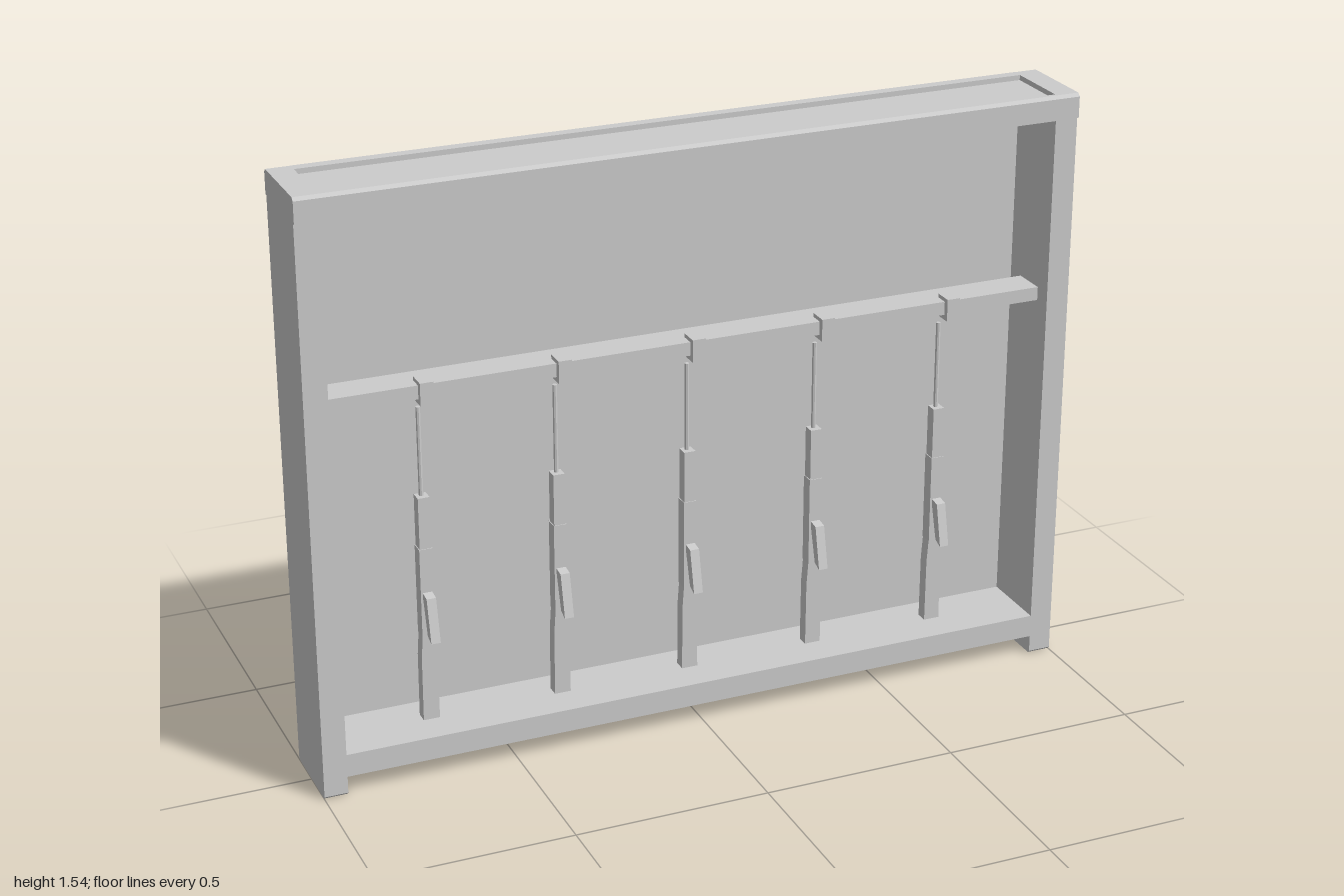
import * as THREE from 'three';

const material = new THREE.MeshStandardMaterial({ color: 0xcccccc, flatShading: true });

// Box given by its minimum and maximum corners
function box(name, [x0, y0, z0], [x1, y1, z1]) {
  const mesh = new THREE.Mesh(new THREE.BoxGeometry(x1 - x0, y1 - y0, z1 - z0), material);
  mesh.name = name;
  mesh.position.set((x0 + x1) / 2, (y0 + y1) / 2, (z0 + z1) / 2);
  return mesh;
}

// Profile of [z, y] points, extruded from x0 to x1
function slab(name, points, x0, x1) {
  const shape = new THREE.Shape(points.map(([z, y]) => new THREE.Vector2(-z, y)));
  const geometry = new THREE.ExtrudeGeometry(shape, { depth: x1 - x0, bevelEnabled: false });
  geometry.rotateY(Math.PI / 2);
  geometry.translate(x0, 0, 0);
  const mesh = new THREE.Mesh(geometry, material);
  mesh.name = name;
  return mesh;
}

// One rifle standing upright, its magazine towards the front
function createRifle() {
  const rifle = new THREE.Group();
  rifle.name = 'rifle';

  // Stock, seen from the front, narrowing into the receiver
  const outline = [[0.021, 0.11], [0.02, 0.28], [0.015, 0.35]];
  const stockShape = new THREE.Shape([
    ...outline.map(([x, y]) => new THREE.Vector2(x, y)),
    ...outline.slice().reverse().map(([x, y]) => new THREE.Vector2(-x, y)),
  ]);
  const stock = new THREE.Mesh(
    new THREE.ExtrudeGeometry(stockShape, { depth: 0.032, bevelEnabled: false }), material);
  stock.name = 'stock';
  stock.position.z = -0.015;
  rifle.add(stock);

  rifle.add(box('receiver', [-0.017, 0.34, -0.015], [0.017, 0.575, 0.02]));
  rifle.add(box('handguard', [-0.015, 0.575, -0.013], [0.015, 0.71, 0.018]));
  rifle.add(slab('magazine',
    [[0.047, 0.355], [0.073, 0.345], [0.048, 0.455], [0.016, 0.46]], -0.012, 0.012));

  const barrel = new THREE.Mesh(new THREE.CylinderGeometry(0.006, 0.006, 0.23, 8), material);
  barrel.name = 'barrel';
  barrel.position.set(0, 0.825, -0.001);
  rifle.add(barrel);
  return rifle;
}

export function createModel() {
  const model = new THREE.Group();
  model.name = 'rifleRack';

  // Side panels with slightly chamfered corners
  const d = 0.108, c = 0.006;
  const sideProfile = [
    [-d + c, 0], [d - c, 0], [d, c], [d, 1.53], [d - c, 1.538],
    [-d + c, 1.538], [-d, 1.53], [-d, c],
  ];
  model.add(slab('leftSidePanel', sideProfile, 0.94, 1));
  model.add(slab('rightSidePanel', sideProfile, -1, -0.94));

  // Back, bottom shelf and recessed top panel
  model.add(box('backPanel', [-0.94, 0, -d], [0.94, 1.538, -0.08]));
  model.add(box('bottomShelf', [-0.94, 0.05, -0.08], [0.94, 0.11, d]));
  model.add(box('topPanel', [-0.94, 1.475, -0.08], [0.94, 1.525, 0.1]));

  // Trim bands along the front and back of the top
  for (const s of [1, -1]) {
    const points = [[0.098, 1.475], [0.115, 1.475], [0.115, 1.53], [0.107, 1.538], [0.098, 1.538]]
      .map(([z, y]) => [s * z, y]);
    model.add(slab(s > 0 ? 'frontTrim' : 'backTrim', points, -1, 1));
  }

  // Cross rail, clips and rifles
  model.add(box('crossRail', [-0.94, 0.985, -0.03], [0.94, 1.02, 0.06]));
  for (let i = -2; i <= 2; i++) {
    const x = i * 0.346;
    model.add(box('clip', [x - 0.017, 0.972, 0.025], [x + 0.017, 1.03, 0.075]));
    const rifle = createRifle();
    rifle.position.x = x;
    model.add(rifle);
  }
  return model;
}
